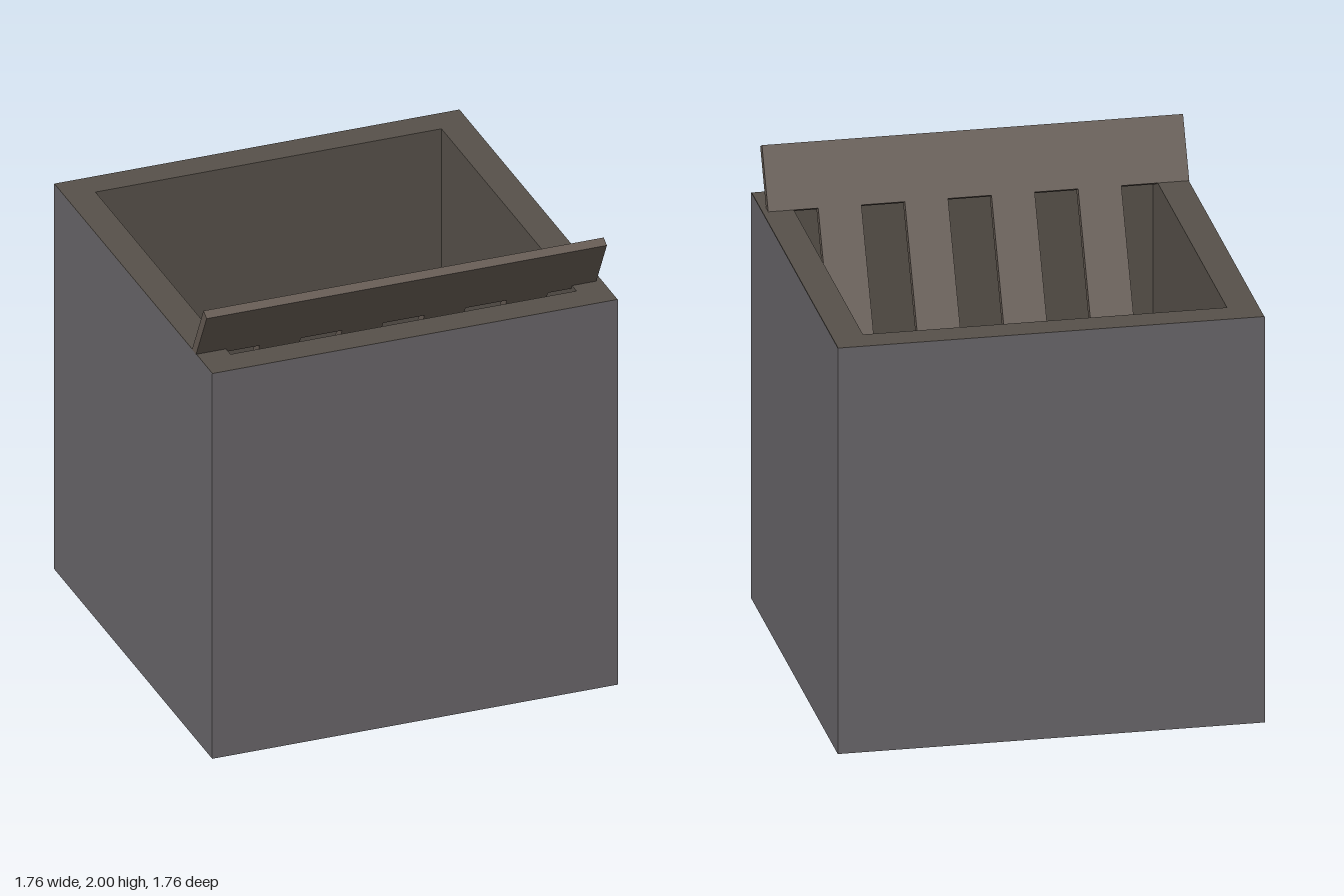
import * as THREE from 'three';

const HALF = 0.88, INNER = 0.75, HEIGHT = 1.76, FLOOR = 0.55;

const mat = (color) => new THREE.MeshStandardMaterial({ color });

function part(name, geometry, material) {
  const mesh = new THREE.Mesh(geometry, material);
  mesh.name = name;
  return mesh;
}

function square(Type, h) {
  return new Type([[-h, -h], [h, -h], [h, h], [-h, h]].map(([x, y]) => new THREE.Vector2(x, y)));
}

// Comb outline: a wide board with four slats hanging below it
function combShape() {
  const top = 0.272, slat = 1.353, width = 0.178, pitch = 0.357, first = -0.6;
  const s = new THREE.Shape();
  s.moveTo(-HALF, top);
  s.lineTo(-HALF, 0);
  for (let i = 0; i < 4; i++) {
    const x = first + i * pitch;
    s.lineTo(x, 0);
    s.lineTo(x, -slat);
    s.lineTo(x + width, -slat);
    s.lineTo(x + width, 0);
  }
  s.lineTo(0.855, 0);
  s.lineTo(0.855, top);
  s.closePath();
  return s;
}

export function createModel() {
  const group = new THREE.Group();

  // Outer casing: a box without its top face
  const casing = new THREE.BoxGeometry(2 * HALF, HEIGHT, 2 * HALF);
  const index = Array.from(casing.index.array);
  index.splice(12, 6);
  casing.setIndex(index);
  casing.clearGroups();
  casing.translate(0, HEIGHT / 2, 0);
  group.add(part('casing', casing, mat(0x69666a)));

  // Thick inner walls and rim
  const ring = square(THREE.Shape, HALF - 0.002);
  ring.holes.push(square(THREE.Path, INNER));
  const walls = new THREE.ExtrudeGeometry(ring, { depth: HEIGHT - 0.01, bevelEnabled: false });
  walls.rotateX(-Math.PI / 2).translate(0, 0.01, 0);
  group.add(part('wallsAndRim', walls, mat(0x57514a)));

  // Pale floor inside
  const floor = new THREE.BoxGeometry(2 * INNER, 0.05, 2 * INNER);
  floor.translate(0, FLOOR - 0.025, 0);
  group.add(part('innerFloor', floor, mat(0xcccccc)));

  // Slatted board leaning out over the front rim
  const comb = new THREE.ExtrudeGeometry(combShape(), { depth: 0.04, bevelEnabled: false });
  const board = part('slattedBoard', comb, mat(0x645a52));
  board.rotation.x = THREE.MathUtils.degToRad(28);
  board.position.set(0, HEIGHT, 0.655);
  group.add(board);

  return group;
}
